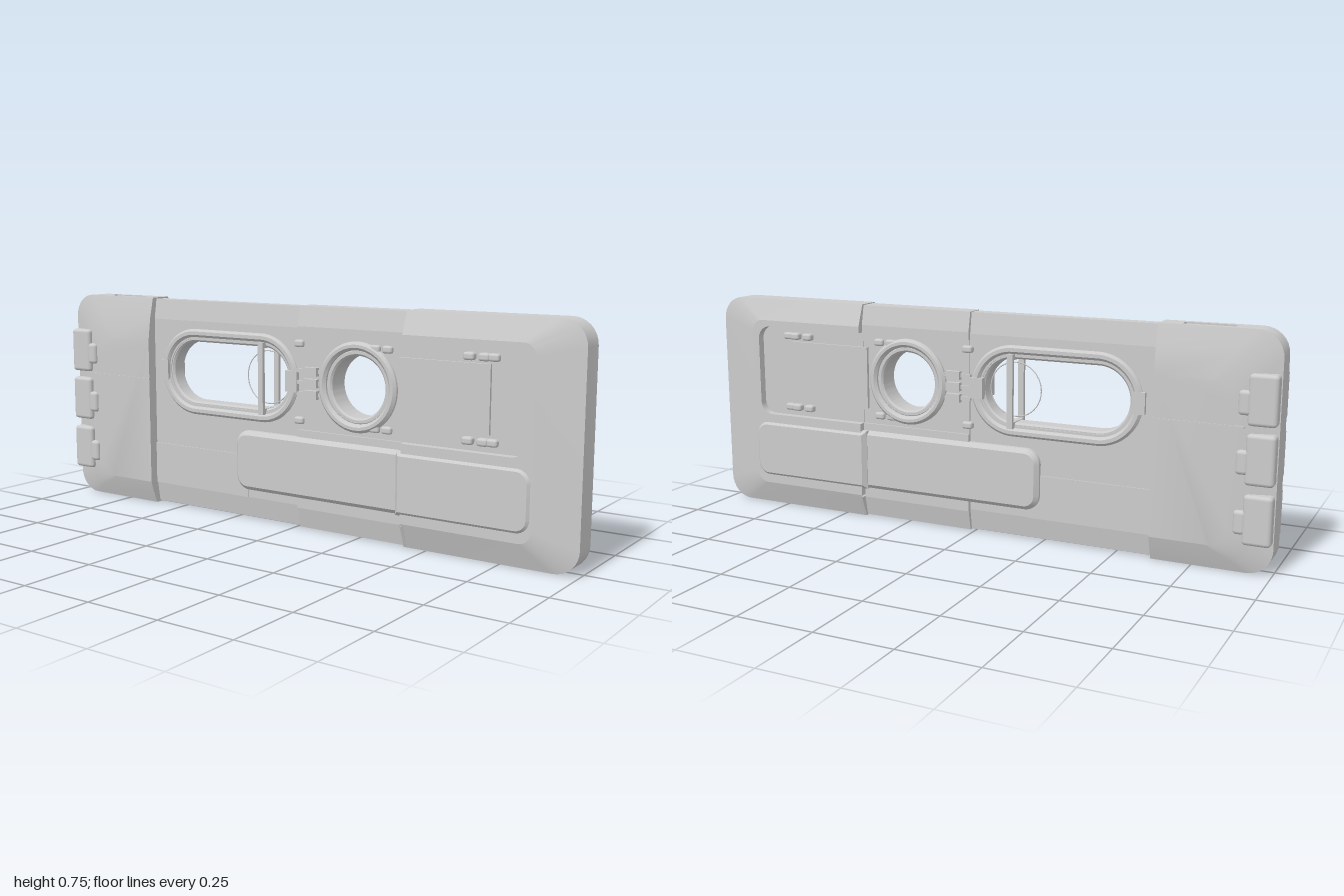
import * as THREE from 'three';
import { toCreasedNormals } from 'three/addons/utils/BufferGeometryUtils.js';
import { RoundedBoxGeometry } from 'three/addons/geometries/RoundedBoxGeometry.js';

const H = 0.745, AXIS = 0.493; // panel height, height of the two windows
const material = new THREE.MeshStandardMaterial({ color: 0xcccccc });

// Counter-clockwise outline, straight at x0 and rounded at the x1 corners; side -1 mirrors it in x
function endOutline(x0, x1, y0, y1, r, side = 1) {
  const pts = [[x0, y0]];
  for (const [cy, start] of [[y0 + r, -Math.PI / 2], [y1 - r, 0]])
    for (let i = 0; i <= 8; i++) {
      const a = start + (i / 8) * Math.PI / 2;
      pts.push([x1 - r + r * Math.cos(a), cy + r * Math.sin(a)]);
    }
  pts.push([x0, y1]);
  return side > 0 ? pts : pts.map(([x, y]) => [-x, y]).reverse();
}

const shapeOf = (pts) => new THREE.Shape(pts.map(([x, y]) => new THREE.Vector2(x, y)));

// Surface through matching outlines [points, z], listed from low z to high z
function loft(loops, closed) {
  const n = loops[0][0].length, pos = [], idx = [];
  for (const [pts, z] of loops) for (const [x, y] of pts) pos.push(x, y, z);
  for (let i = 0; i + 1 < loops.length; i++)
    for (let j = 0; j < (closed ? n : n - 1); j++) {
      const a = i * n + j, b = i * n + (j + 1) % n;
      idx.push(a, b, b + n, a, b + n, a + n);
    }
  const top = (loops.length - 1) * n;
  if (closed) for (let j = 1; j + 1 < n; j++) idx.push(0, j + 1, j, top, top + j, top + j + 1);
  const g = new THREE.BufferGeometry();
  g.setAttribute('position', new THREE.Float32BufferAttribute(pos, 3));
  g.setIndex(idx);
  return toCreasedNormals(g, 0.3);
}

// Slab symmetric about z = 0 with chamfered rims
function slab(shape, half, bevel = 0) {
  const g = new THREE.ExtrudeGeometry(shape, {
    depth: 2 * (half - bevel), curveSegments: 20, bevelEnabled: bevel > 0,
    bevelThickness: bevel, bevelSize: bevel, bevelOffset: -bevel, bevelSegments: 1,
  });
  return toCreasedNormals(g.translate(0, 0, bevel - half), 0.4);
}

function stadium(xa, xb, r, PathType = THREE.Shape) {
  const p = new PathType();
  p.absarc(xb, AXIS, r, -Math.PI / 2, Math.PI / 2, false);
  p.absarc(xa, AXIS, r, Math.PI / 2, Math.PI * 1.5, false);
  p.closePath();
  return p;
}

function ringSlab(xa, xb, outer, inner, half, bevel) {
  const s = stadium(xa, xb, outer);
  s.holes.push(stadium(xa, xb, inner, THREE.Path));
  return slab(s, half, bevel);
}

const rect = (x0, x1, y0, y1) => shapeOf([[x0, y0], [x1, y0], [x1, y1], [x0, y1]]);

export function createModel() {
  const model = new THREE.Group();
  const add = (name, geometry) => {
    const m = new THREE.Mesh(geometry, material);
    m.name = name;
    model.add(m);
    return m;
  };
  const box = (name, x0, x1, y0, y1, half, z = 0) =>
    add(name, new THREE.BoxGeometry(x1 - x0, y1 - y0, 2 * half).translate((x0 + x1) / 2, (y0 + y1) / 2, z));

  // Sloping top and bottom edges: thin at the rim, thick at the face
  const edges = (name, x0, x1, inset, faceY, ze, zp) => {
    for (const flip of [false, true]) {
      const pts = [[zp, faceY], [ze, H - inset], [-ze, H - inset], [-zp, faceY]]
        .map(([z, y]) => [z, flip ? H - y : y]);
      const g = new THREE.ExtrudeGeometry(shapeOf(pts), { depth: x1 - x0, bevelEnabled: false });
      add(name, g.rotateY(Math.PI / 2).translate(x0, 0, 0));
    }
  };

  // Middle panels with their window openings
  const left = rect(-0.63, 0.015, 0.075, 0.67);
  left.holes.push(stadium(-0.43, -0.14, 0.115, THREE.Path));
  add('slidePanel', slab(left, 0.033));
  edges('slidePanelEdge', -0.63, 0.015, 0.005, 0.67, 0.022, 0.033);
  box('slidePanelStep', -0.63, -0.2, 0.075, 0.222, 0.037);

  const mid = rect(0.015, 0.425, 0.075, 0.655);
  mid.holes.push(stadium(0.245, 0.245, 0.11, THREE.Path));
  add('centrePanel', slab(mid, 0.039));
  edges('centrePanelEdge', 0.015, 0.425, 0.003, 0.675, 0.032, 0.046);
  box('centrePanelTopRail', 0.015, 0.425, 0.65, 0.676, 0.046);
  box('centrePanelBottomRail', 0.015, 0.425, 0.07, 0.335, 0.046);

  // Right end cap: sloping shell and a C-shaped face around a recess
  const outer = endOutline(0.42, 1, 0, H, 0.08);
  const face = endOutline(0.42, 0.86, 0.08, 0.672, 0.04);
  add('rightCapShell', loft([[face, -0.068], [outer, -0.04], [outer, 0.04], [face, 0.068]], false));
  edges('rightCapEnd', 0.42, 0.43, 0, 0.672, 0.04, 0.068);
  const recess = endOutline(0.42, 0.835, 0.335, 0.65, 0.045);
  add('rightCapFace', slab(shapeOf([...face, ...[...recess].reverse()]), 0.068));
  box('recessFloor', 0.42, 0.85, 0.32, 0.66, 0.041);
  box('recessPlate', 0.4, 0.71, 0.388, 0.6, 0.05);

  // Long raised pad, taller where it crosses the right cap
  add('longPad', slab(shapeOf(endOutline(-0.43, 0.24, 0.105, 0.31, 0.05, -1)), 0.06, 0.014));
  add('longPadEnd', slab(shapeOf(endOutline(0.4, 0.86, 0.105, 0.31, 0.05)), 0.076, 0.014));

  // Left end cap: front and back shells around a channel open at top and bottom
  const rim = endOutline(0.62, 1, 0, H, 0.08, -1);
  const slope = endOutline(0.62, 0.93, 0.045, 0.675, 0.07, -1);
  const plateau = endOutline(0.62, 0.862, 0.08, 0.592, 0.06, -1);
  const shell = [[rim, 0.018], [rim, 0.04], [slope, 0.057], [plateau, 0.068]];
  add('leftCapFront', loft(shell, true));
  add('leftCapBack', loft(shell.map(([p, z]) => [p, -z]).reverse(), true));
  add('leftCapOuterCore', slab(shapeOf(endOutline(0.85, 1, 0, H, 0.08, -1)), 0.018));
  box('leftCapInnerCore', -0.69, -0.62, 0, H, 0.018);
  for (const s of [1, -1]) box('leftCapSeam', -0.9, -0.62, 0.453, 0.459, 0.008, s * 0.0625);

  // Hinge blocks on both faces of the left cap
  for (const s of [1, -1])
    for (const y of [0.54, 0.36, 0.175]) {
      const h = add('hinge', new RoundedBoxGeometry(0.088, 0.156, 0.05, 2, 0.012));
      h.position.set(-0.953, y, s * 0.052);
      const tab = add('hingeTab', new RoundedBoxGeometry(0.04, 0.075, 0.04, 2, 0.012));
      tab.position.set(-0.9, y - 0.01, s * 0.057);
    }

  // Stepped frames around the long and the round windows
  add('longWindowFrame', ringSlab(-0.43, -0.14, 0.15, 0.122, 0.044, 0.008));
  add('longWindowLip', ringSlab(-0.43, -0.14, 0.126, 0.105, 0.03, 0.006));
  add('roundWindowFrame', ringSlab(0.245, 0.245, 0.146, 0.118, 0.056, 0.009));
  add('roundWindowLip', ringSlab(0.245, 0.245, 0.122, 0.1, 0.042, 0.006));
  box('longWindowLatch', -0.588, -0.55, AXIS - 0.035, AXIS + 0.035, 0.045);
  box('longWindowLatch', -0.035, 0.012, AXIS - 0.035, AXIS + 0.035, 0.048);

  // Shaft and thin hoop crossing the long window
  for (const s of [1, -1]) box('shaft', -0.145, -0.125, 0.375, 0.61, 0.006, s * 0.045);
  for (const y of [0.38, 0.605]) box('shaftEnd', -0.145, -0.125, y - 0.01, y + 0.01, 0.051);
  add('hoop', new THREE.TorusGeometry(0.09, 0.002, 6, 40)).position.set(-0.135, AXIS, 0);

  // Connector between the windows
  for (const y of [0.455, 0.493, 0.531]) {
    box('connectorBlock', 0.045, 0.095, y - 0.014, y + 0.014, 0.055);
    box('connectorLink', 0.01, 0.12, y - 0.006, y + 0.006, 0.046);
  }

  // Small rounded clips along the rows above and below the windows
  for (const y of [0.62, 0.366])
    for (const [x, half] of [[0.02, 0.052], [0.31, 0.052], [0.355, 0.052], [0.64, 0.062], [0.69, 0.062], [0.72, 0.058]]) {
      const clip = add('clip', new RoundedBoxGeometry(0.036, 0.024, 2 * half, 2, 0.008));
      clip.position.set(x, y, 0);
    }

  // Centre in depth and width is already at the origin; the panel stands on y = 0
  return model;
}
